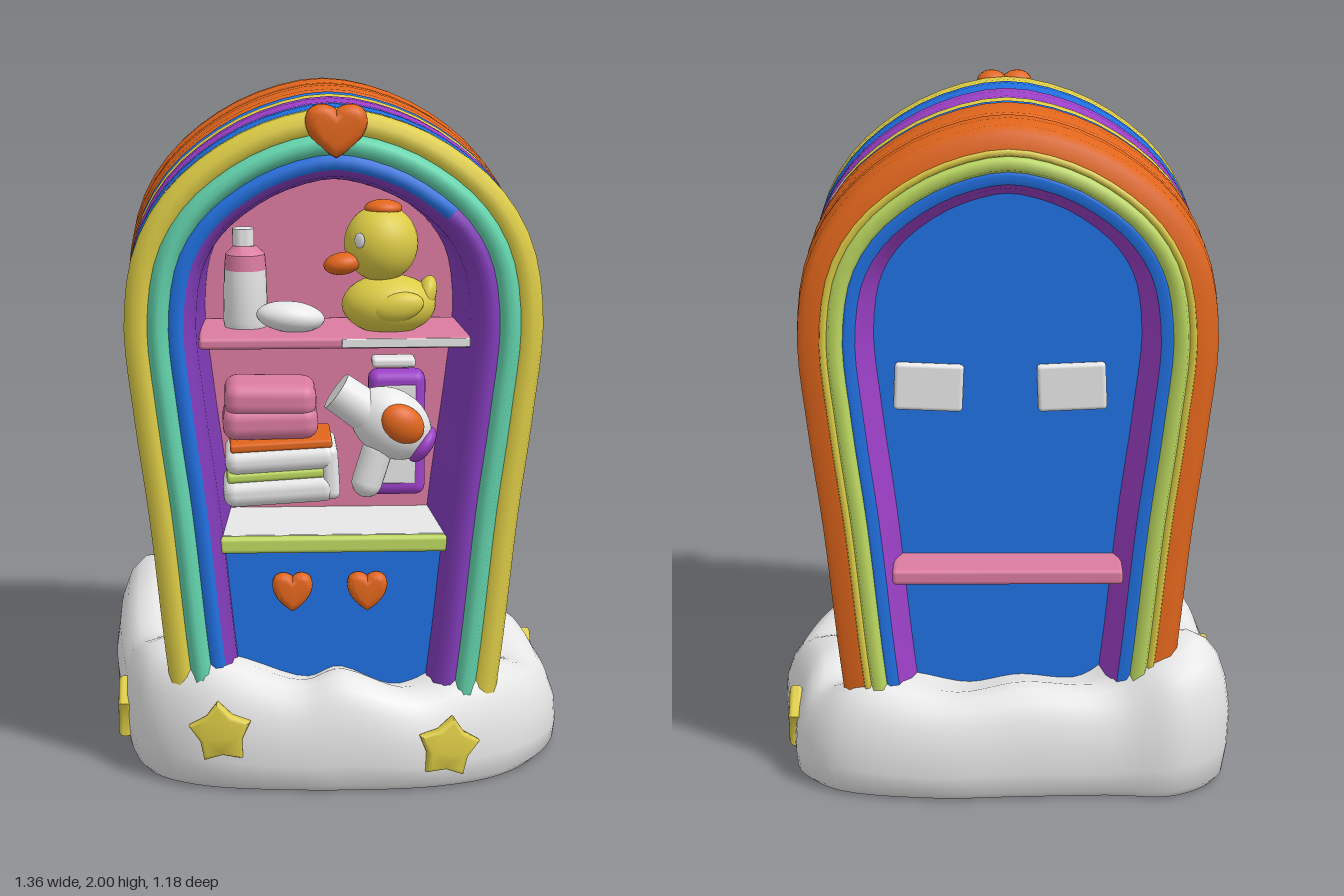
import * as THREE from 'three';
import { toCreasedNormals } from 'three/addons/utils/BufferGeometryUtils.js';
import { RoundedBoxGeometry } from 'three/addons/geometries/RoundedBoxGeometry.js';

const material = (name, color) => Object.assign(new THREE.MeshStandardMaterial({ color }), { name });
const M = {
  orange: material('orange', 0xe2661c), blue: material('blue', 0x2070e0),
  purple: material('purple', 0x9d40c8), deepPurple: material('deep purple', 0x823cba),
  pink: material('pink', 0xdb7ba0), yellow: material('yellow', 0xdccb45),
  lime: material('lime', 0xbcd860), teal: material('teal', 0x62d2ab),
  white: material('white', 0xe8e8e8),
};

const CX = -0.019; // middle of the arch
const N = 64; // steps along the arch
const HALF = [[0.46, 0.12], [0.495, 0.4], [0.536, 0.8], [0.575, 1.1], [0.6, 1.38], [0.565, 1.6],
  [0.47, 1.76], [0.31, 1.89], [0.15, 1.96]];
const archCurve = new THREE.CatmullRomCurve3(
  [...HALF, [0, 1.985], ...HALF.slice().reverse().map(([x, y]) => [-x, y])]
    .map(([x, y]) => new THREE.Vector3(x, y, 0)));

// Arch point at step i, moved inwards by inset
function archPoint(i, inset) {
  const p = archCurve.getPointAt(i / N), t = archCurve.getTangentAt(i / N);
  return [p.x - t.y * inset + CX, p.y + t.x * inset];
}

// Grid of rows x cols points made into a surface
function surface(rows, cols, at) {
  const pos = [], idx = [];
  for (let i = 0; i < rows; i++) for (let j = 0; j < cols; j++) {
    pos.push(...at(i, j));
    if (i < rows - 1 && j < cols - 1) {
      const a = i * cols + j, b = a + cols;
      idx.push(a, a + 1, b, b, a + 1, b + 1);
    }
  }
  const g = new THREE.BufferGeometry();
  g.setAttribute('position', new THREE.Float32BufferAttribute(pos, 3));
  g.setIndex(idx);
  g.computeVertexNormals();
  return g;
}

// Heart or star with a puffy edge, centred on its own origin
function puffy(shape, depth, bevel) {
  const g = new THREE.ExtrudeGeometry(shape, { depth, bevelEnabled: true, bevelSize: bevel,
    bevelThickness: bevel, bevelOffset: -bevel, bevelSegments: 3, curveSegments: 10 });
  return toCreasedNormals(g.center(), 0.9);
}

function heartShape(w, h) {
  const s = new THREE.Shape();
  s.moveTo(0, -h / 2);
  s.bezierCurveTo(-w * 0.3, -h * 0.32, -w / 2, -h * 0.05, -w / 2, h * 0.2);
  s.bezierCurveTo(-w / 2, h * 0.58, -w * 0.1, h * 0.56, 0, h * 0.4);
  s.bezierCurveTo(w * 0.1, h * 0.56, w / 2, h * 0.58, w / 2, h * 0.2);
  s.bezierCurveTo(w / 2, -h * 0.05, w * 0.3, -h * 0.32, 0, -h / 2);
  return s;
}

function starShape(r) {
  return new THREE.Shape(Array.from({ length: 10 }, (_, i) => {
    const a = Math.PI / 2 + i * Math.PI / 5, k = i % 2 ? r * 0.68 : r;
    return new THREE.Vector2(Math.cos(a) * k, Math.sin(a) * k);
  }));
}

export function createModel() {
  const model = new THREE.Group();
  model.name = 'archCabinet';
  const add = (name, geo, mat, p = [0, 0, 0], r = [0, 0, 0], s = [1, 1, 1]) => {
    const m = new THREE.Mesh(geo, mat);
    m.name = name;
    m.position.set(...p);
    m.rotation.set(...r);
    m.scale.set(...s);
    model.add(m);
  };
  const box = (name, mat, w, h, d, p, r, round = 0.012) =>
    add(name, new RoundedBoxGeometry(w, h, d, 3, round), mat, p, r);
  const ball = (name, mat, s, p, r) => add(name, new THREE.SphereGeometry(1, 24, 16), mat, p, r, s);

  // Bands: cross-section [inset, z] swept along the arch between two steps
  const band = (name, mat, section, from = 0, to = N) =>
    add(name, surface(to - from + 1, section.length, (i, j) => {
      const [x, y] = archPoint(from + i, section[j][0]);
      return [x, y, section[j][1]];
    }), mat);
  const roll = (z0, z1, out = 0) => // rounded outer band
    [[0.01, z0], [0.003 - out, z0 - 0.014], [-out, (z0 + z1) / 2], [0.003 - out, z1 + 0.014], [0.01, z1]];

  band('innerWall', M.deepPurple, [[0.23, 0.08], [0.205, 0.4], [0.19, 0.455], [0.17, 0.47]]);
  const lip = [[0.178, 0.46], [0.162, 0.478], [0.14, 0.478], [0.125, 0.465]];
  band('innerLipSide', M.deepPurple, lip, 0, 25);
  band('innerLip', M.blue, lip, 25, N);
  band('middleRing', M.teal, [[0.128, 0.465], [0.118, 0.488], [0.1, 0.497], [0.08, 0.493], [0.066, 0.462]]);
  band('frontRing', M.yellow, [[0.07, 0.46], [0.055, 0.475], [0.03, 0.475], [0.008, 0.46],
    [0, 0.44], [0.002, 0.4], [0.012, 0.385]]);
  band('blueBand', M.blue, roll(0.385, 0.245));
  band('purpleBand', M.purple, roll(0.245, 0.068));
  band('stripePink', M.pink, roll(0.068, 0.01), 0, 20);
  band('stripeWhite', M.white, roll(0.068, 0.01), 20, 24);
  band('stripeYellow', M.yellow, roll(0.068, 0.01), 24, N);
  band('narrowBlueBand', M.blue, roll(0.01, -0.055));
  band('orangeBand', M.orange, roll(-0.055, -0.26, 0.006));
  band('rearOrangeBand', M.orange, [[0.012, -0.26], [-0.002, -0.28], [-0.006, -0.36], [0, -0.445],
    [0.018, -0.468], [0.068, -0.475]]);
  band('rearYellowRing', M.yellow, [[0.062, -0.47], [0.066, -0.482], [0.08, -0.482], [0.086, -0.468]]);
  band('rearLimeRing', M.lime, [[0.082, -0.468], [0.09, -0.49], [0.12, -0.49], [0.13, -0.465]]);
  band('rearLip', M.blue, [[0.128, -0.465], [0.138, -0.475], [0.165, -0.465]]);
  band('rearInnerWall', M.purple, [[0.165, -0.465], [0.18, -0.44], [0.215, -0.34]]);

  // Back panels of the two recesses; mirrored points and a half turn face the rear one backwards
  const panel = (inset, side) => new THREE.ShapeGeometry(new THREE.Shape(
    Array.from({ length: N + 1 }, (_, i) => {
      const [x, y] = archPoint(i, inset);
      return new THREE.Vector2(x * side, y);
    })));
  add('frontBackboard', panel(0.22, 1), M.pink, [0, 0, 0.085]);
  add('rearBackboard', panel(0.2, -1), M.blue, [0, 0, -0.345], [0, Math.PI, 0]);

  // Cupboard front, ledge and shelves
  const drawer = new THREE.Shape([[-0.31, 0.15], [0.27, 0.15], [0.32, 0.7], [-0.355, 0.7]]
    .map(([x, y]) => new THREE.Vector2(x, y)));
  add('cupboardFront', new THREE.ExtrudeGeometry(drawer, { depth: 0.29, bevelEnabled: false }), M.blue, [0, 0, 0.09]);
  box('ledge', M.lime, 0.67, 0.048, 0.35, [-0.018, 0.71, 0.255]);
  box('ledgeTop', M.white, 0.65, 0.008, 0.32, [-0.018, 0.733, 0.245], undefined, 0.003);
  box('shelf', M.pink, 0.79, 0.034, 0.32, [-0.012, 1.305, 0.245]);
  box('shelfEdge', M.white, 0.37, 0.026, 0.008, [0.19, 1.305, 0.404], undefined, 0.003);
  box('rearShelf', M.pink, 0.67, 0.045, 0.17, [-0.018, 0.67, -0.417]);
  for (const x of [-0.205, 0.21])
    box('rearPlate', M.white, 0.2, 0.14, 0.03, [x, 1.205, -0.355], [0, 0, x * 0.2]);

  // Hearts
  add('topHeart', puffy(heartShape(0.175, 0.15), 0.012, 0.028), M.orange, [-0.015, 1.925, 0.475]);
  for (const x of [-0.14, 0.08])
    add('heartKnob', puffy(heartShape(0.118, 0.115), 0.012, 0.02), M.orange, [x, 0.56, 0.395]);

  // Bottle on the top shelf
  const lathe = (pts) => toCreasedNormals(new THREE.LatheGeometry(pts.map(p => new THREE.Vector2(...p)), 24), 0.7);
  add('bottleBody', lathe([[0, 0], [0.062, 0], [0.066, 0.02], [0.062, 0.17]]), M.white, [-0.27, 1.322, 0.21]);
  add('bottleShoulder', lathe([[0.062, 0.17], [0.058, 0.215], [0.032, 0.24]]), M.pink, [-0.27, 1.322, 0.21]);
  add('bottleCap', lathe([[0.032, 0.24], [0.032, 0.29], [0, 0.292]]), M.white, [-0.275, 1.322, 0.21]);
  ball('soap', M.white, [0.1, 0.045, 0.06], [-0.14, 1.363, 0.29], [0, 0, -0.1]);

  // Toy duck
  ball('duckBody', M.yellow, [0.138, 0.088, 0.1], [0.148, 1.395, 0.27]);
  ball('duckHead', M.yellow, [0.108, 0.112, 0.1], [0.125, 1.575, 0.27]);
  ball('duckTail', M.yellow, [0.03, 0.06, 0.05], [0.255, 1.42, 0.27], [0, 0, -0.3]);
  ball('duckWing', M.yellow, [0.075, 0.042, 0.03], [0.17, 1.4, 0.35], [0, 0, 0.2]);
  ball('duckBeak', M.orange, [0.055, 0.032, 0.045], [0.01, 1.522, 0.31], [0, 0, 0.15]);
  ball('duckTuft', M.orange, [0.055, 0.025, 0.045], [0.13, 1.678, 0.275]);
  ball('duckEye', M.white, [0.018, 0.022, 0.006], [0.058, 1.595, 0.349], [0, -0.7, 0]);

  // Folded towels
  box('pinkTowelLower', M.pink, 0.28, 0.1, 0.2, [-0.2, 1.05, 0.24], [0, 0, 0.02], 0.04);
  box('pinkTowelUpper', M.pink, 0.27, 0.1, 0.2, [-0.2, 1.118, 0.24], [0, 0, -0.02], 0.04);
  box('whiteTowelLower', M.white, 0.33, 0.08, 0.24, [-0.175, 0.85, 0.24], [0, 0, 0.06], 0.035);
  box('whiteTowelUpper', M.white, 0.33, 0.075, 0.24, [-0.17, 0.945, 0.24], [0, 0, 0.06], 0.035);
  box('towelSide', M.white, 0.05, 0.16, 0.23, [-0.025, 0.905, 0.24], [0, 0, 0.06], 0.022);
  box('towelFold', M.lime, 0.29, 0.03, 0.215, [-0.185, 0.898, 0.24], [0, 0, 0.06]);
  box('towelTop', M.orange, 0.3, 0.026, 0.22, [-0.17, 0.988, 0.24], [0, 0, 0.05], 0.009);

  // Tall bottle with label, and the hair dryer in front of it
  box('tallBottle', M.purple, 0.17, 0.38, 0.09, [0.18, 0.985, 0.15], undefined, 0.03);
  box('bottleLabel', M.white, 0.11, 0.3, 0.008, [0.18, 0.985, 0.196], undefined, 0.003);
  box('tallBottleCap', M.white, 0.13, 0.03, 0.07, [0.17, 1.2, 0.15]);
  ball('dryerBody', M.white, [0.13, 0.1, 0.08], [0.155, 1.04, 0.28], [0, 0, -0.6]);
  add('dryerNozzle', new THREE.CylinderGeometry(0.06, 0.065, 0.15, 20), M.white, [0.055, 1.095, 0.28], [0, 0, 0.95]);
  add('dryerHandle', new THREE.CapsuleGeometry(0.046, 0.1, 6, 16), M.white, [0.1, 0.91, 0.28], [0, 0, -0.3]);
  ball('dryerPatch', M.orange, [0.07, 0.055, 0.04], [0.185, 1.05, 0.338], [0, 0.15, -0.6]);
  ball('dryerEnd', M.purple, [0.03, 0.06, 0.06], [0.248, 0.975, 0.28], [0, 0, -0.6]);

  // Cloud base: outline [x, height, z] running front, right, back, left
  const rim = new THREE.CatmullRomCurve3([
    [-0.42, 0.38, 0.525], [-0.12, 0.31, 0.575], [0.02, 0.345, 0.58], [0.27, 0.28, 0.565], [0.47, 0.34, 0.49],
    [0.6, 0.31, 0.35], [0.68, 0.27, 0.15], [0.675, 0.3, 0], [0.635, 0.33, -0.22], [0.61, 0.29, -0.4],
    [0.5, 0.34, -0.52], [0.2, 0.3, -0.58], [-0.05, 0.33, -0.57], [-0.34, 0.32, -0.56], [-0.52, 0.4, -0.57],
    [-0.65, 0.46, -0.47], [-0.675, 0.4, -0.3], [-0.655, 0.32, 0], [-0.625, 0.36, 0.25], [-0.57, 0.37, 0.42],
  ].map(p => new THREE.Vector3(...p)), true);
  const LEVELS = [[0, 0], [0.955, 0], [0.985, 0.06], [1, 0.25], [1, 0.5], [0.975, 0.72], [0.935, 0.88],
    [0.88, 0.97], [0.8, 1], [0.7, 0.95], [0, 0.85]];
  const cloud = surface(LEVELS.length, 97, (k, i) => {
    const p = rim.getPoint((i % 96) / 96), [s, f] = LEVELS[k];
    return [p.x * s - 0.02 * f, (s ? p.y : 0.34) * f, p.z * s]; // leans slightly to one side
  });
  add('cloudBase', toCreasedNormals(cloud, 0.95), M.white);

  // Stars on the cloud
  for (const [x, y, z, yaw, tilt] of [[-0.355, 0.19, 0.548, -0.15, 0.1], [0.31, 0.14, 0.56, 0.2, -0.15],
    [0.622, 0.15, -0.25, Math.PI / 2, 0], [-0.643, 0.15, 0.19, -Math.PI / 2, 0.1]])
    add('star', puffy(starShape(0.096), 0.012, 0.014), M.yellow, [x, y, z], [0, yaw, tilt]);

  return model;
}
